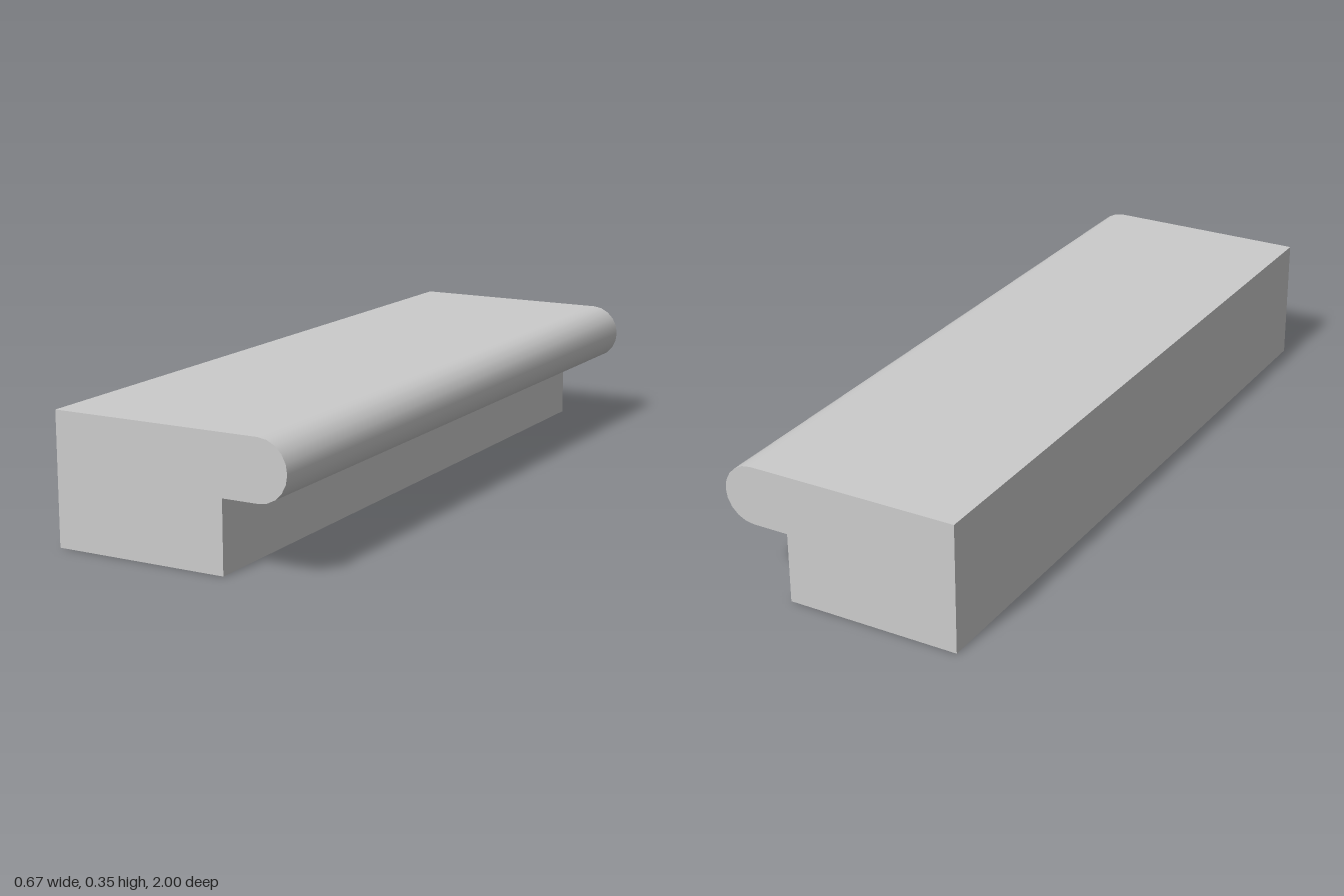
import * as THREE from 'three';
import { toCreasedNormals } from 'three/addons/utils/BufferGeometryUtils.js';

const LENGTH = 2;
const BACK = -0.333;      // plain long side
const RISER = 0.152;      // face below the overhang
const TOP = 0.354;
const RADIUS = 0.0805;    // rounded nosing
const NOSE_X = 0.333 - RADIUS;

export function createModel() {
  const group = new THREE.Group();
  group.name = 'bullnoseStep';

  // Cross-section: solid block with a half-round overhanging lip
  const profile = new THREE.Shape();
  profile.moveTo(BACK, 0);
  profile.lineTo(RISER, 0);
  profile.lineTo(RISER, TOP - 2 * RADIUS);
  profile.lineTo(NOSE_X, TOP - 2 * RADIUS);
  profile.absarc(NOSE_X, TOP - RADIUS, RADIUS, -Math.PI / 2, Math.PI / 2, false);
  profile.lineTo(BACK, TOP);
  profile.closePath();

  // Run the section along z; the nosing is smooth, the corners stay sharp
  const extruded = new THREE.ExtrudeGeometry(profile, {
    depth: LENGTH, bevelEnabled: false, curveSegments: 5,
  });
  extruded.translate(0, 0, -LENGTH / 2);

  const step = new THREE.Mesh(
    toCreasedNormals(extruded, Math.PI / 6),
    new THREE.MeshStandardMaterial({ color: 0xcccccc }),
  );
  step.name = 'stepWithRoundedNosing';
  group.add(step);
  return group;
}
